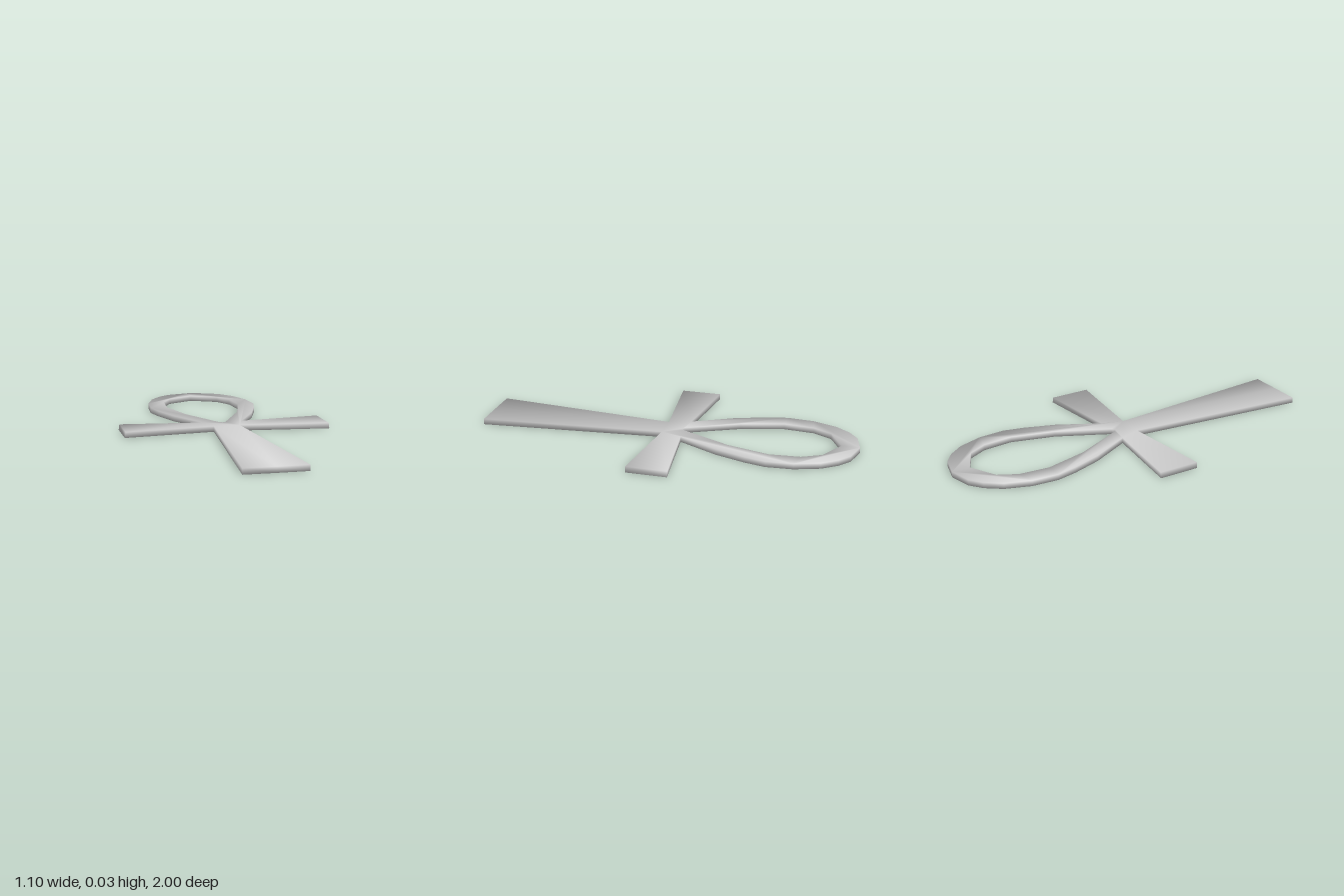
import * as THREE from 'three';
import { mergeVertices } from 'three/addons/utils/BufferGeometryUtils.js';

const THICKNESS = 0.03;

// Mirrors a half outline (from the far tip to the near tip) across x = 0.
// Points are [x, z]; shape y is -z so that the plate can be laid flat.
function mirrored(half) {
  const other = half.filter(([x]) => x > 0).reverse().map(([x, z]) => [-x, z]);
  return [...half, ...other].map(([x, z]) => new THREE.Vector2(x, -z));
}

// Soft normals: each face counts by its corner angle, so edges look rounded
function softenNormals(geometry) {
  const { position } = geometry.attributes;
  const index = geometry.index.array;
  const sums = Array.from({ length: position.count }, () => new THREE.Vector3());
  const corner = (i) => new THREE.Vector3().fromBufferAttribute(position, i);
  for (let i = 0; i < index.length; i += 3) {
    for (let k = 0; k < 3; k++) {
      const a = index[i + k];
      const u = corner(index[i + (k + 1) % 3]).sub(corner(a));
      const v = corner(index[i + (k + 2) % 3]).sub(corner(a));
      sums[a].addScaledVector(u.clone().cross(v).normalize(), u.angleTo(v));
    }
  }
  const normals = sums.flatMap((n) => n.normalize().toArray());
  geometry.setAttribute('normal', new THREE.Float32BufferAttribute(normals, 3));
}

export function createModel() {
  const group = new THREE.Group();
  group.name = 'loopedCross';

  // Outer outline: loop, cross arm, then flared stem with a point mid-end
  const outline = new THREE.Shape(mirrored([
    [0, -1], [0.12, -0.97], [0.185, -0.92], [0.245, -0.84], [0.29, -0.71],
    [0.3, -0.57], [0.275, -0.46], [0.22, -0.3], [0.107, -0.083],
    [0.55, -0.135], [0.55, 0.08], [0.07, 0.03], [0.16, 0.999], [0, 1],
  ]));

  // Teardrop opening of the loop, wound against the outline
  outline.holes.push(new THREE.Path(mirrored([
    [0, -0.905], [0.143, -0.83], [0.195, -0.73], [0.208, -0.57],
    [0.148, -0.344], [0.018, -0.075], [0, -0.063],
  ]).reverse()));

  let geometry = new THREE.ExtrudeGeometry(outline, { depth: THICKNESS, bevelEnabled: false });
  geometry.rotateX(-Math.PI / 2);

  // The arm ends lean in slightly towards the top face
  const p = geometry.attributes.position;
  for (let i = 0; i < p.count; i++) {
    if (p.getY(i) > THICKNESS / 2 && Math.abs(p.getX(i)) > 0.5) p.setX(i, p.getX(i) * 0.992);
  }

  // Share corners so the shading runs smoothly over the edges
  geometry.deleteAttribute('normal');
  geometry.deleteAttribute('uv');
  geometry = mergeVertices(geometry, 1e-4);
  softenNormals(geometry);

  const plate = new THREE.Mesh(geometry, new THREE.MeshStandardMaterial({ color: 0xcccccc }));
  plate.name = 'loopedCrossPlate';
  group.add(plate);
  return group;
}
